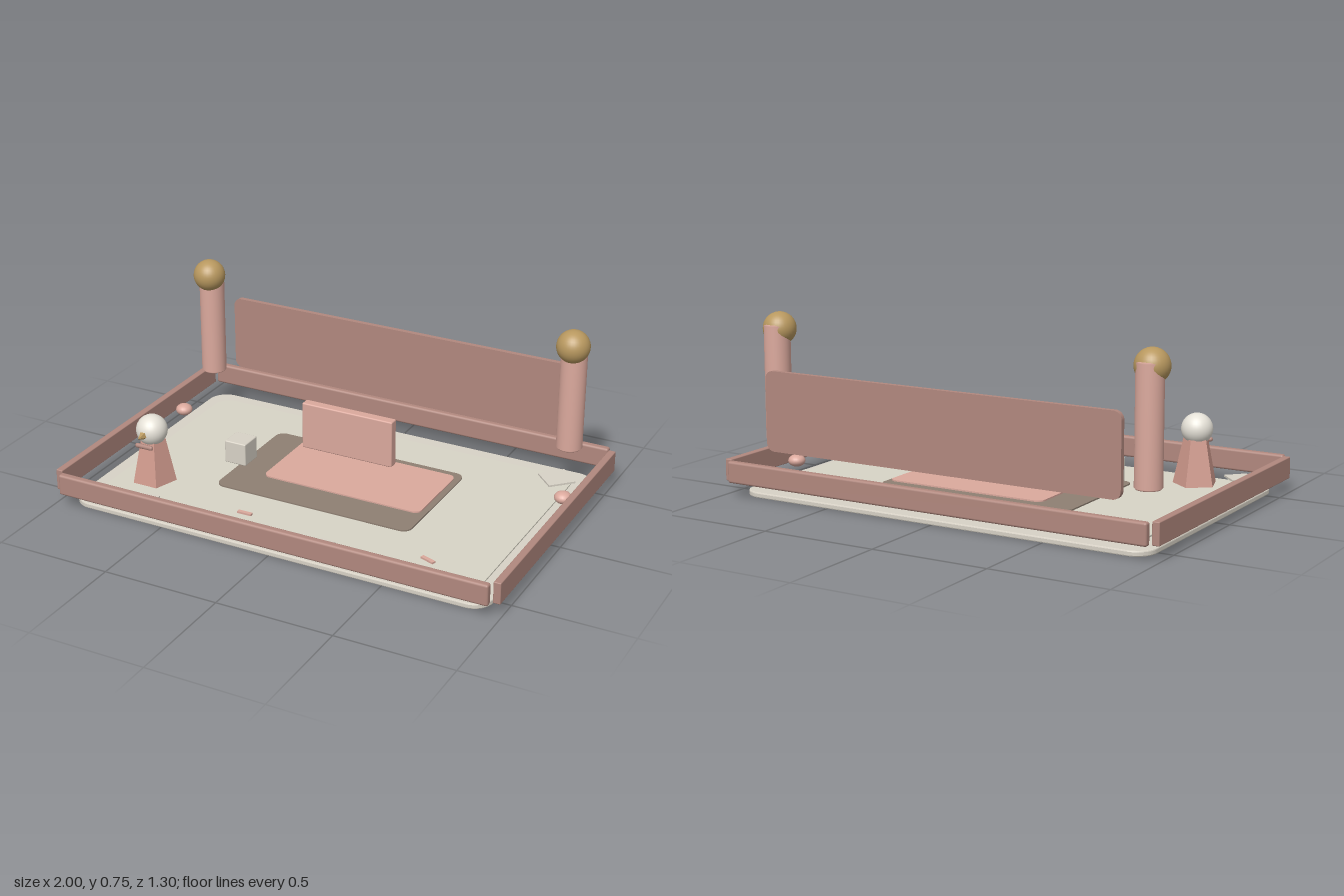
import * as THREE from 'three';
import { RoundedBoxGeometry } from 'three/addons/geometries/RoundedBoxGeometry.js';

const paint = (color) => new THREE.MeshStandardMaterial({ color, roughness: 0.8 });

// Rounded rectangle outline centred on the origin
function roundedRect(w, h, r) {
  const s = new THREE.Shape();
  const x = w / 2, y = h / 2;
  s.moveTo(-x + r, -y);
  s.lineTo(x - r, -y);
  s.absarc(x - r, -y + r, r, -Math.PI / 2, 0);
  s.absarc(x - r, y - r, r, 0, Math.PI / 2);
  s.absarc(-x + r, y - r, r, Math.PI / 2, Math.PI);
  s.absarc(-x + r, -y + r, r, Math.PI, Math.PI * 1.5);
  return s;
}

// Panel of the given depth, extruded along z from 0
function panel(w, h, r, depth, bevel = 0) {
  const geo = new THREE.ExtrudeGeometry(roundedRect(w - 2 * bevel, h - 2 * bevel, r), {
    depth: depth - 2 * bevel, curveSegments: 8,
    bevelEnabled: bevel > 0, bevelSize: bevel, bevelThickness: bevel, bevelSegments: 2,
  });
  return geo.translate(0, 0, bevel);
}

export function createModel() {
  const group = new THREE.Group();
  const pink = paint(0xdba99d), brick = paint(0xb1887e), gold = paint(0xb8985f);
  const stone = paint(0xd8d2c6), sand = paint(0xd7d4c6), earth = paint(0x8f8073);
  const white = paint(0xe6e2d8);

  function add(name, geo, material, x, y, z) {
    const mesh = new THREE.Mesh(geo, material);
    mesh.name = name;
    mesh.position.set(x, y, z);
    group.add(mesh);
    return mesh;
  }

  // Flat ground layers: name, x range, z range, corner radius, y, thickness, bevel
  const layers = [
    ['base', -0.94, 0.935, -0.603, 0.6, 0.08, 0.002, 0.023, 0.005, stone],
    ['lawn', -0.868, 0.864, -0.515, 0.53, 0.07, 0.036, 0.006, 0, sand],
    ['mat', -0.45, 0.446, -0.306, 0.25, 0.04, 0.047, 0.006, 0, earth],
    ['patio', -0.302, 0.424, -0.262, 0.104, 0.03, 0.057, 0.006, 0, pink],
  ];
  for (const [name, x0, x1, z0, z1, r, y, t, bevel, material] of layers) {
    const geo = panel(x1 - x0, z1 - z0, r, t, bevel).rotateX(-Math.PI / 2);
    add(name, geo, material, (x0 + x1) / 2, y, (z0 + z1) / 2);
  }

  // Border rails
  const longRail = new RoundedBoxGeometry(1.925, 0.092, 0.033, 2, 0.01);
  const sideRail = new RoundedBoxGeometry(0.031, 0.092, 1.23, 2, 0.004);
  add('frontRail', longRail, brick, 0, 0.108, 0.632);
  add('backRail', longRail, brick, 0, 0.108, -0.638);
  for (const s of [-1, 1]) {
    add(s > 0 ? 'leftRail' : 'rightRail', sideRail, brick, s * 0.983, 0.108, -0.005);
  }

  // Back wall and standing slab
  add('backWall', panel(1.63, 0.335, 0.035, 0.022), brick, -0.002, 0.368, -0.576);
  add('slab', new RoundedBoxGeometry(0.422, 0.208, 0.043, 2, 0.006), pink, -0.002, 0.238, -0.1);

  // Gate posts with ball tops, and small mounds beside them
  const post = new THREE.LatheGeometry([
    [0, 0.222], [0.05, 0.222], [0.055, 0.228], [0.055, 0.7], [0.05, 0.706], [0, 0.706],
  ].map(([x, y]) => new THREE.Vector2(x, y)), 32);
  const ball = new THREE.SphereGeometry(0.07, 32, 20);
  const mound = new THREE.SphereGeometry(0.037, 20, 14).scale(1, 0.7, 1);
  for (const s of [-1, 1]) {
    const x = s * 0.858 - 0.003;
    add('gatePost', post, pink, x, 0, -0.437);
    add('postBall', ball, gold, x, 0.685, -0.419);
    add('mound', mound, pink, s * 0.911 - 0.004, 0.085, -0.255);
  }

  // Garden figure: five-sided body, round head, beak and scarf roll
  const body = new THREE.CylinderGeometry(0.054, 0.095, 0.19, 5).rotateY(Math.PI);
  const bodyMaterial = paint(0xd09a8d);
  bodyMaterial.flatShading = true;
  add('figureBody', body, bodyMaterial, -0.695, 0.155, 0.335);
  add('figureHead', new THREE.SphereGeometry(0.066, 32, 20), white, -0.695, 0.29, 0.34);
  const beak = new THREE.ConeGeometry(0.018, 0.036, 5).rotateX(Math.PI / 2);
  const beakMaterial = paint(0xb8985f);
  beakMaterial.flatShading = true;
  add('figureBeak', beak, beakMaterial, -0.695, 0.29, 0.427);
  const scarf = new THREE.CapsuleGeometry(0.01, 0.065, 4, 10).rotateZ(Math.PI / 2);
  add('figureScarf', scarf, brick, -0.695, 0.237, 0.403);

  // Stone cube
  add('cube', new RoundedBoxGeometry(0.1, 0.1, 0.1, 2, 0.005), stone, -0.43, 0.14, 0.067);

  // Diamond paving tiles: x, z, half diagonal
  for (const [x, z, d] of [[-0.802, 0.54, 0.071], [0.8, -0.459, 0.085]]) {
    const side = d * Math.SQRT2;
    const tile = add('pavingTile', new THREE.BoxGeometry(side, 0.008, side), stone, x, 0.054, z);
    tile.rotation.y = Math.PI / 4;
  }

  // Scattered twigs: x, z, turn
  const twig = new THREE.BoxGeometry(0.064, 0.008, 0.017);
  const twigs = [[-0.622, 0.47, 0.2], [-0.21, 0.417, 0], [0.2, 0.47, -0.15], [0.612, 0.417, -0.35]];
  twigs.forEach(([x, z, turn], i) => {
    add('twig', twig, i % 2 ? pink : stone, x, 0.055, z).rotation.y = turn;
  });

  return group;
}
